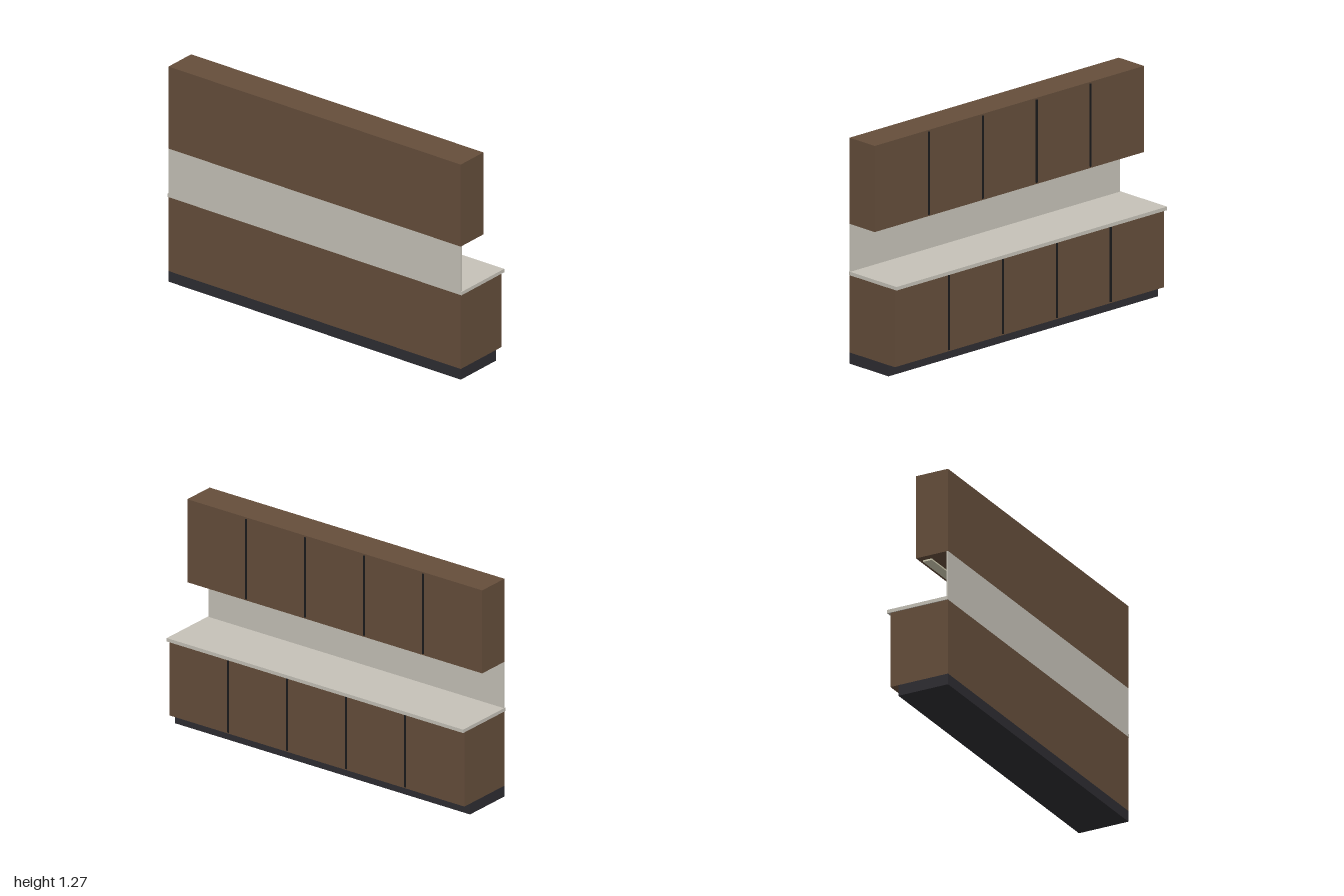
import * as THREE from 'three';

const mat = (color) => new THREE.MeshStandardMaterial({ color });

export function createModel() {
  const group = new THREE.Group();
  group.name = 'kitchenUnit';
  const wood = mat(0x654e3b), stone = mat(0xc6c2b8), dark = mat(0x2e2d32);
  const gapMat = mat(0x1a1a1c), lightMat = mat(0xcfcbb0);

  // Box given by its extents along each axis
  const box = (name, material, [x0, x1], [y0, y1], [z0, z1]) => {
    const mesh = new THREE.Mesh(new THREE.BoxGeometry(x1 - x0, y1 - y0, z1 - z0), material);
    mesh.position.set((x0 + x1) / 2, (y0 + y1) / 2, (z0 + z1) / 2);
    mesh.name = name;
    group.add(mesh);
  };

  const half = 0.995, back = 0.185;
  const width = [-half, half];

  // Lower run: recessed plinth, cabinet body and worktop
  box('plinth', dark, width, [0, 0.063], [-0.118, back]);
  box('baseCabinet', wood, width, [0.063, 0.5], [-0.167, back]);
  box('worktop', stone, [-1, 1], [0.5, 0.52], [-0.185, back]);

  // Wall panel, upper cabinets and the light strip beneath them
  box('backsplash', stone, width, [0.52, 0.787], [0.175, back]);
  box('wallCabinet', wood, width, [0.787, 1.272], [-0.011, back]);
  box('lightStrip', lightMat, [-0.955, 0.955], [0.778, 0.787], [0.01, 0.063]);

  // Dark lines that divide each run into five doors
  const doors = 5, w = 0.005;
  for (let i = 1; i < doors; i++) {
    const x = -half + (2 * half * i) / doors;
    box('baseDoorGap', gapMat, [x - w, x + w], [0.071, 0.492], [-0.173, -0.165]);
    box('wallDoorGap', gapMat, [x - w, x + w], [0.796, 1.263], [-0.017, -0.009]);
  }
  return group;
}
